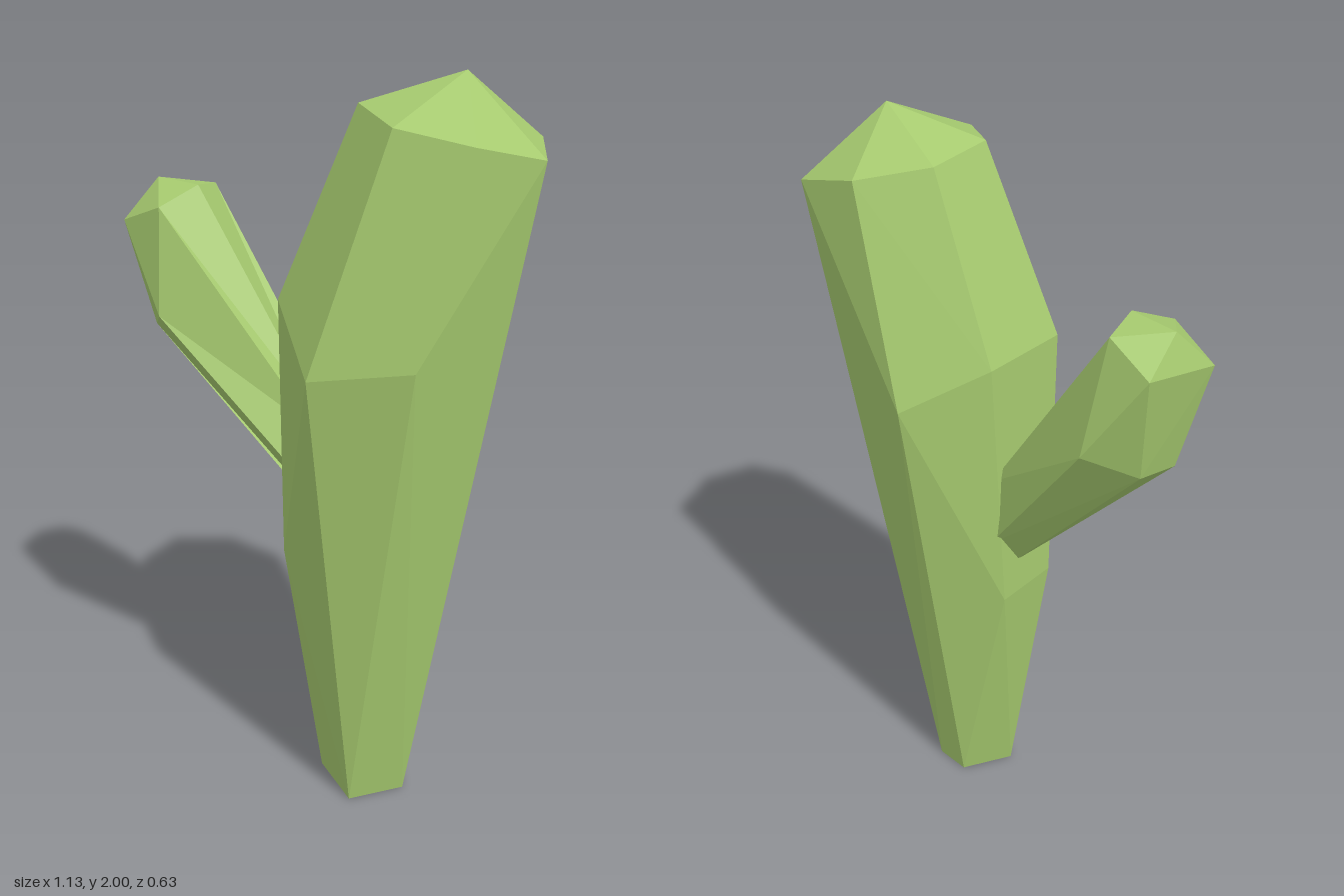
import * as THREE from 'three';

// Faceted stem: ridge columns run bottom to top, listed left, front, right, back.
// Neighbouring ridges are zipped together; an apex closes the top and a flat fan the foot.
function facetedStem(columns, apex) {
  const pos = [];
  const same = (a, b) => a.every((v, i) => v === b[i]);
  const tri = (a, b, c) => {
    if (!same(a, b) && !same(b, c) && !same(a, c)) pos.push(...a, ...b, ...c);
  };
  const foot = [0, 1, 2].map((k) => columns.reduce((s, c) => s + c[0][k], 0) / columns.length);
  columns.forEach((left, n) => {
    const right = columns[(n + 1) % columns.length];
    let i = 0, j = 0;
    while (i < left.length - 1 || j < right.length - 1) {
      const nextL = i < left.length - 1 ? left[i + 1][1] : Infinity;
      const nextR = j < right.length - 1 ? right[j + 1][1] : Infinity;
      // The topmost points are joined last, so lower bends are used up first
      const lastL = i === left.length - 2, lastR = j === right.length - 2;
      const goLeft = lastL !== lastR && nextL < Infinity && nextR < Infinity ? lastR : nextL <= nextR;
      if (goLeft) {
        tri(left[i], right[j], left[i + 1]);
        i++;
      } else {
        tri(left[i], right[j], right[j + 1]);
        j++;
      }
    }
    tri(apex, left[left.length - 1], right[right.length - 1]);
    tri(foot, right[0], left[0]);
  });
  const geo = new THREE.BufferGeometry();
  geo.setAttribute('position', new THREE.Float32BufferAttribute(pos, 3));
  geo.computeVertexNormals();
  return geo;
}

export function createModel() {
  const group = new THREE.Group();
  group.name = 'cactus';
  const green = new THREE.MeshStandardMaterial({ color: 0xa6ca6f, flatShading: true });
  green.name = 'cactus green';

  const add = (name, columns, apex) => {
    const mesh = new THREE.Mesh(facetedStem(columns, apex), green);
    mesh.name = name;
    group.add(mesh);
  };

  // Trunk: leaning, seven ridges at the crown narrowing to a five-sided foot
  const footLeft = [0.03, 0, 0.09], footFront = [0.21, 0, 0.15];
  add('trunk', [
    [footLeft, [-0.09, 0.7, -0.01], [-0.085, 1.415, -0.05], [0.095, 1.905, -0.105]],
    [footLeft, [-0.02, 0.7, 0.18], [0, 1.42, 0.205], [0.165, 1.92, 0.085]],
    [footFront, [0.23, 1.285, 0.315], [0.355, 1.895, 0.155]],
    [footFront, [0.46, 1.33, 0.17], [0.52, 1.86, 0.05]],
    [[0.27, 0, 0], [0.565, 1.81, -0.145]],
    [[0.16, 0, -0.08], [0.4, 1.82, -0.32]],
    [[0.06, 0, -0.06], [0.03, 1.3, -0.26], [0.2, 1.87, -0.275]],
  ], [0.35, 2, -0.095]);

  // Side arm: its root points are pushed on into the trunk
  const tipFront = [-0.385, 1.6, 0.285], tipBack = [-0.43, 1.625, 0.06];
  const rootLow = [-0.07, 0.81, 0.05];
  const arm = [
    [rootLow, [-0.5, 1.26, 0.12], [-0.565, 1.56, 0.08]],
    [rootLow, [-0.48, 1.25, 0.24], [-0.54, 1.54, 0.29]],
    [[-0.035, 0.93, 0.14], [-0.37, 1.31, 0.31], tipFront],
    [[-0.05, 1.08, 0.09], tipFront],
    [[-0.065, 1.1, 0.04], [-0.37, 1.645, 0.165]],
    [[-0.08, 1.12, -0.01], tipBack],
    [[-0.09, 0.92, -0.03], [-0.425, 1.32, -0.01], tipBack],
  ].map(([root, next, ...rest]) => [
    root.map((v, k) => v + (v - next[k]) * 0.12), next, ...rest,
  ]);
  add('arm', arm, [-0.52, 1.645, 0.185]);

  return group;
}
